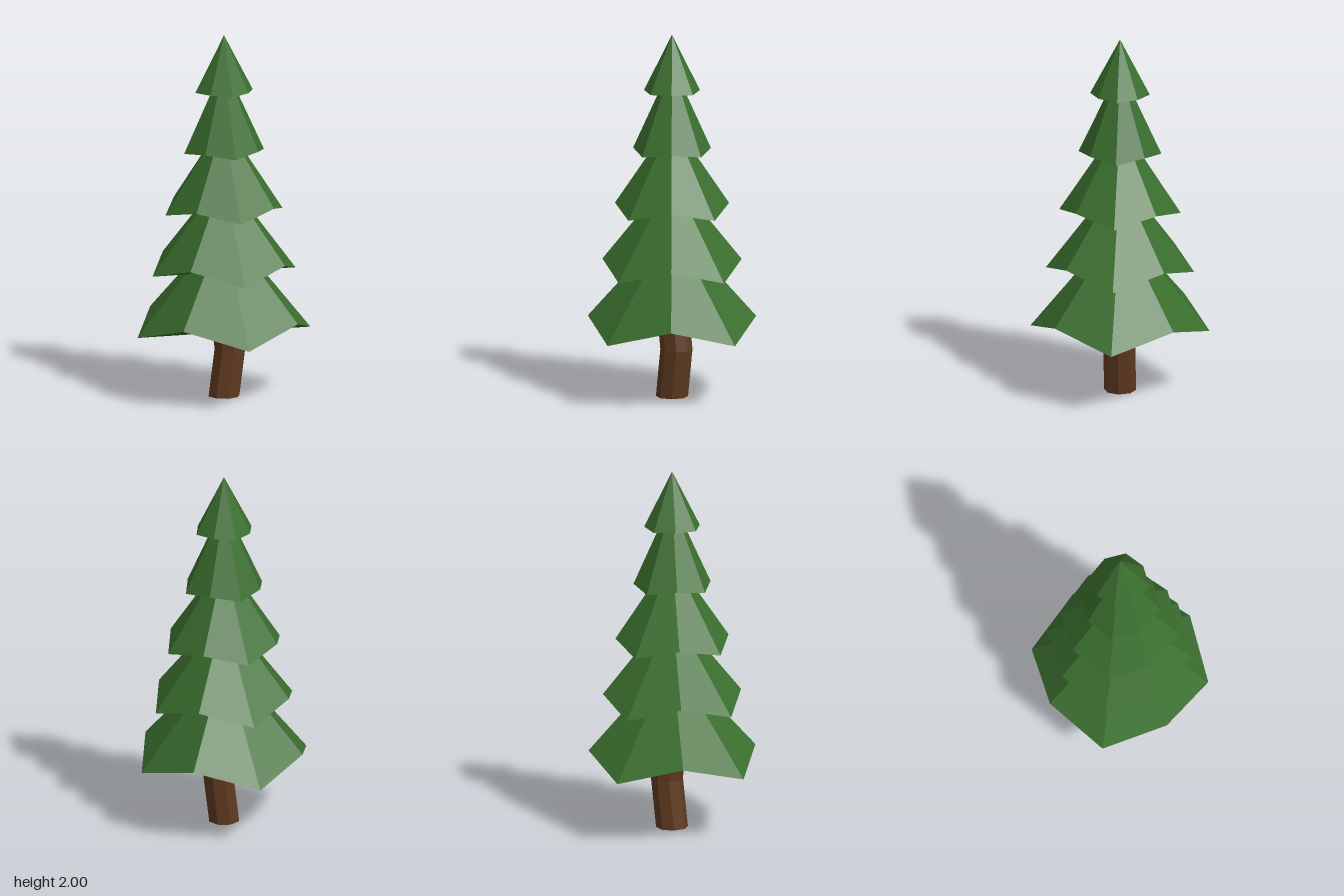
import * as THREE from 'three';

const SIDES = 8;

function flatMaterial(color) {
  return new THREE.MeshStandardMaterial({ color, flatShading: true });
}

// Eight-sided cone whose diagonal rim corners are pulled in and lifted,
// leaving the four axis corners drooping.
function makeTier({ radius, base, apex, lift }) {
  const height = apex - base;
  const geometry = new THREE.ConeGeometry(radius, height, SIDES, 1);
  geometry.translate(0, base + height / 2, 0);
  const pos = geometry.attributes.position;
  for (let i = 0; i < pos.count; i++) {
    const x = pos.getX(i), y = pos.getY(i), z = pos.getZ(i);
    const isDiagonal = Math.min(Math.abs(x), Math.abs(z)) > radius * 0.3;
    if (isDiagonal) pos.setXYZ(i, x * 0.935, y + lift, z * 0.935);
  }
  geometry.computeVertexNormals();
  return geometry;
}

// Octagonal trunk with one bend: each ring slides sideways with height.
function makeTrunk() {
  const radius = 0.087, height = 0.53, bend = 0.034;
  const geometry = new THREE.CylinderGeometry(radius, radius, height, SIDES, 2);
  geometry.translate(0, height / 2, 0);
  const pos = geometry.attributes.position;
  for (let i = 0; i < pos.count; i++) {
    const t = pos.getY(i) / height;
    pos.setX(i, pos.getX(i) + bend * (1 - Math.abs(2 * t - 1)));
  }
  geometry.computeVertexNormals();
  return geometry;
}

export function createModel() {
  const tree = new THREE.Group();
  tree.name = 'pineTree';

  const trunk = new THREE.Mesh(makeTrunk(), flatMaterial(0x5f3a20));
  trunk.name = 'trunk';
  tree.add(trunk);

  // Foliage, from the widest tier to the tip
  const foliage = new THREE.Group();
  foliage.name = 'foliage';
  const green = flatMaterial(0x3a6e2e);
  const tiers = [
    { radius: 0.487, base: 0.35, apex: 0.954, lift: 0.095 },
    { radius: 0.403, base: 0.685, apex: 1.226, lift: 0.075 },
    { radius: 0.33, base: 1.02, apex: 1.527, lift: 0.05 },
    { radius: 0.225, base: 1.355, apex: 1.842, lift: 0.02 },
    { radius: 0.162, base: 1.69, apex: 2.0, lift: 0.004 },
  ];
  tiers.forEach((tier, i) => {
    const mesh = new THREE.Mesh(makeTier(tier), green);
    mesh.name = `foliageTier${i + 1}`;
    foliage.add(mesh);
  });
  tree.add(foliage);

  return tree;
}
